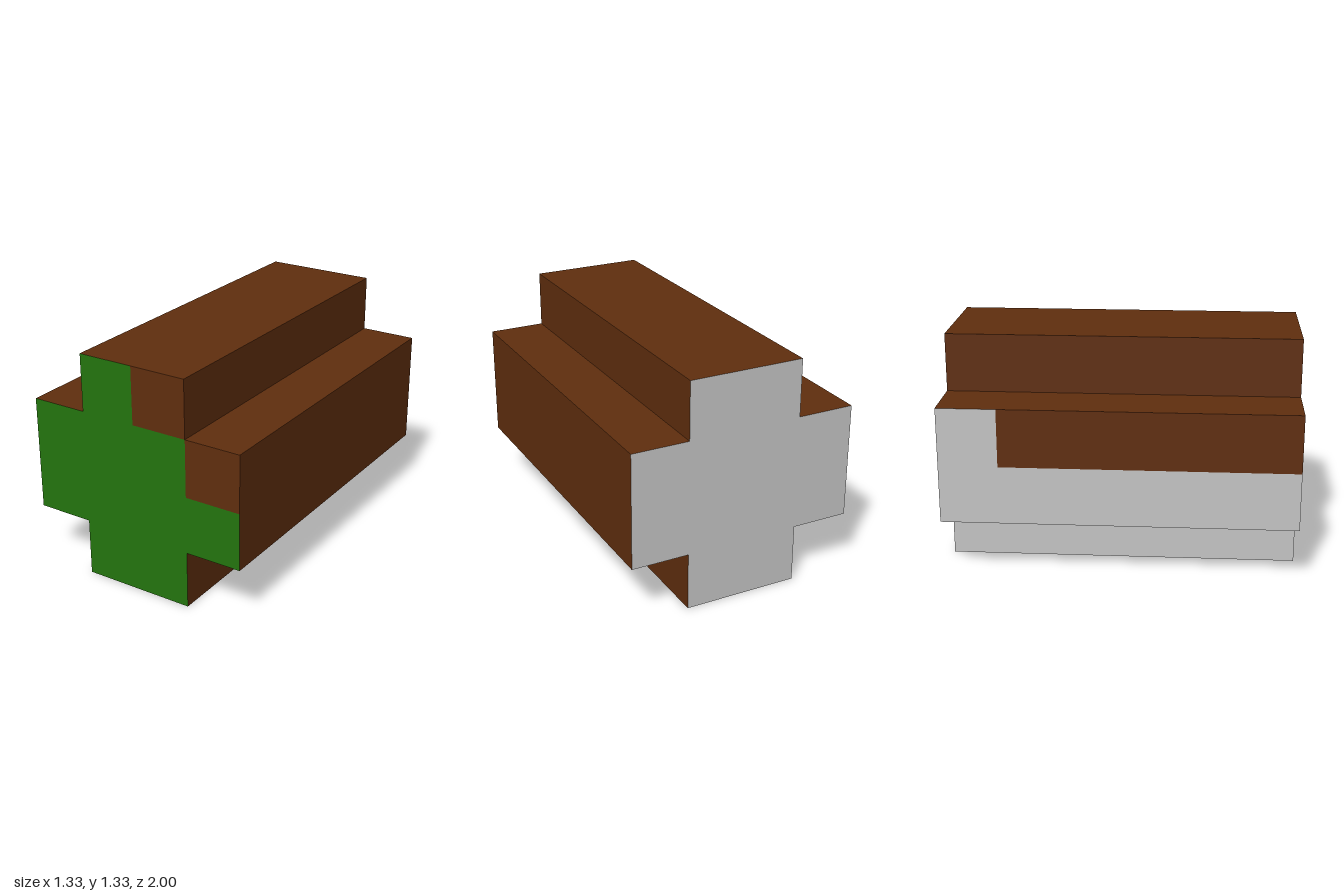
import * as THREE from 'three';

const U = 1 / 3; // one block

export function createModel() {
  const group = new THREE.Group();
  const brown = new THREE.MeshStandardMaterial({ color: 0x602e0e });
  brown.name = 'brown';
  const green = new THREE.MeshStandardMaterial({ color: 0x24750e });
  green.name = 'green';
  const grey = new THREE.MeshStandardMaterial({ color: 0xc6c6c6 });
  grey.name = 'pale grey';

  const add = (name, geometry, material) => {
    const mesh = new THREE.Mesh(geometry, material);
    mesh.name = name;
    group.add(mesh);
    return mesh;
  };
  const shapeOf = (pts) => new THREE.Shape(pts.map(([x, y]) => new THREE.Vector2(x * U, y * U)));

  // Long wall along one counter-clockwise profile edge, facing outward
  const wall = (name, [x0, y0], [x1, y1], material, z0 = -3, z1 = 3) => {
    const dx = x1 - x0, dy = y1 - y0;
    const geometry = new THREE.PlaneGeometry(Math.hypot(dx, dy) * U, (z1 - z0) * U);
    geometry.rotateX(-Math.PI / 2);
    geometry.rotateZ(Math.atan2(dy, dx) - Math.PI);
    geometry.translate((x0 + x1) / 2 * U, (y0 + y1) / 2 * U, (z0 + z1) / 2 * U);
    add(name, geometry, material);
  };

  // Cross-shaped profile, in blocks, starting at the lower left corner
  const cross = [[-1, 0], [1, 0], [1, 1], [2, 1], [2, 3], [1, 3],
    [1, 4], [-1, 4], [-1, 3], [-2, 3], [-2, 1], [-1, 1]];
  const walls = [
    ['bottom', grey], ['lowerRightSide', brown], ['rightUnderside', grey],
    ['rightSide', brown], ['rightLedge', brown], ['upperRightSide', brown],
    ['top', brown], ['upperLeftSide', brown], ['leftLedge', brown],
    ['leftSide', null], ['leftUnderside', grey], ['lowerLeftSide', grey],
  ];
  walls.forEach(([name, material], i) => {
    if (material) wall(name, cross[i], cross[(i + 1) % cross.length], material);
  });

  // Left side: brown upper band stopping one block short of the back
  wall('leftSideBand', [-2, 3], [-2, 2], brown, -2, 3);
  wall('leftSideBackCorner', [-2, 3], [-2, 2], grey, -3, -2);
  wall('leftSideLower', [-2, 2], [-2, 1], grey);

  // Back end
  const back = new THREE.ShapeGeometry(shapeOf(cross));
  back.rotateY(Math.PI);
  add('backEnd', back, grey).position.z = -1;

  // Front end: green with two brown blocks stepping down one side
  const front = [[-1, 0], [1, 0], [1, 1], [2, 1], [2, 2], [1, 2], [1, 3], [0, 3],
    [0, 4], [-1, 4], [-1, 3], [-2, 3], [-2, 1], [-1, 1]];
  add('frontEnd', new THREE.ShapeGeometry(shapeOf(front)), green).position.z = 1;
  for (const [name, x, y] of [['frontTopBlock', 0, 3], ['frontSideBlock', 1, 2]]) {
    add(name, new THREE.PlaneGeometry(U, U), brown).position.set((x + 0.5) * U, (y + 0.5) * U, 1);
  }
  return group;
}
